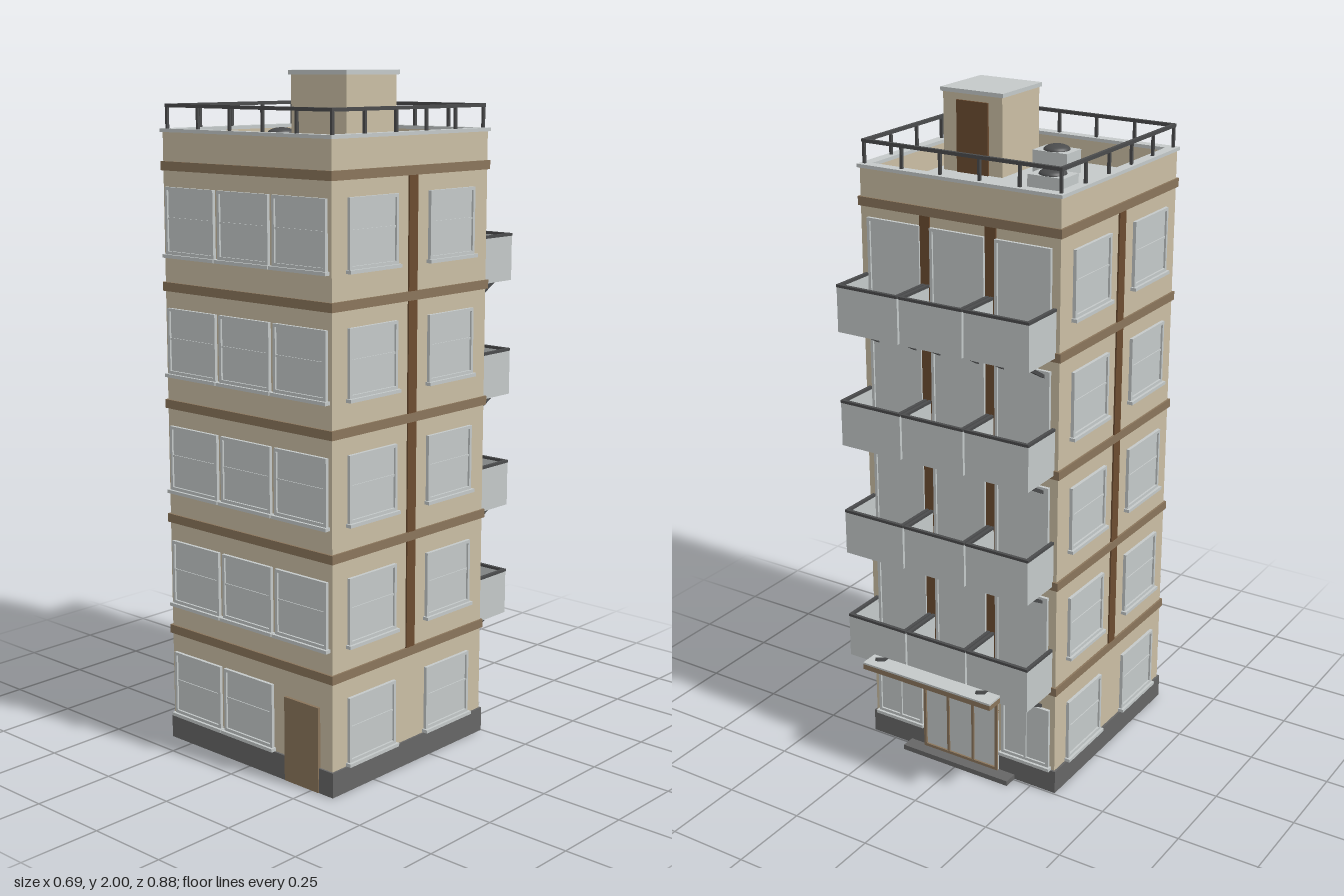
import * as THREE from 'three';

const paint = (name, color) => {
  const m = new THREE.MeshStandardMaterial({ color });
  m.name = name;
  return m;
};

export function createModel() {
  const wall = paint('sandWall', 0xcabea4);
  const pale = paint('paleGrey', 0xc4c9c9);
  const trim = paint('bandBrown', 0x8a755b);
  const dark = paint('darkBrown', 0x6c4c30);
  const stone = paint('baseGrey', 0x666666);
  const metal = paint('railGrey', 0x4a4b4c);

  const model = new THREE.Group();
  model.name = 'apartmentTower';

  // Box given by its limits on each axis
  function box(parent, name, mat, x0, x1, y0, y1, z0, z1) {
    const mesh = new THREE.Mesh(new THREE.BoxGeometry(x1 - x0, y1 - y0, z1 - z0), mat);
    mesh.position.set((x0 + x1) / 2, (y0 + y1) / 2, (z0 + z1) / 2);
    mesh.name = name;
    parent.add(mesh);
    return mesh;
  }

  // Square bar in a plane of constant x
  function strut(parent, name, mat, x, y0, z0, y1, z1, t) {
    const mesh = new THREE.Mesh(new THREE.BoxGeometry(t, t, Math.hypot(y1 - y0, z1 - z0)), mat);
    mesh.position.set(x, (y0 + y1) / 2, (z0 + z1) / 2);
    mesh.rotation.x = -Math.atan2(y1 - y0, z1 - z0);
    mesh.name = name;
    parent.add(mesh);
  }

  // Four walls around a rectangle
  function ring(name, mat, x, y0, y1, z0, z1, t) {
    const g = new THREE.Group();
    g.name = name;
    for (const s of [-1, 1]) {
      const a = s * x, b = s * (x - t);
      box(g, name + 'Side', mat, Math.min(a, b), Math.max(a, b), y0, y1, z0, z1);
    }
    box(g, name + 'Back', mat, -x + t, x - t, y0, y1, z0, z0 + t);
    box(g, name + 'Front', mat, -x + t, x - t, y0, y1, z1 - t, z1);
    model.add(g);
  }

  // Framed pane facing +z, turned onto its wall
  function pane(name, w, h, x, y, z, turn, { frame = pale, rail = true, sill = true, mullions = 0 } = {}) {
    const g = new THREE.Group();
    g.name = name;
    const t = 0.009, a = w / 2, d = 0.01;
    box(g, 'glass', pale, -a, a, 0, h, -0.002, 0.004);
    box(g, 'frameLeft', frame, a - t, a, 0, h, 0, d);
    box(g, 'frameRight', frame, -a, -a + t, 0, h, 0, d);
    box(g, 'frameTop', frame, -a + t, a - t, h - t, h, 0, d);
    box(g, 'frameBottom', frame, -a + t, a - t, 0, t, 0, d);
    if (rail) box(g, 'sashRail', frame, -a + t, a - t, h * 0.52, h * 0.52 + 0.006, 0, 0.007);
    for (let i = 1; i <= mullions; i++) {
      const m = -a + (w * i) / (mullions + 1);
      box(g, 'mullion', frame, m - 0.004, m + 0.004, t, h - t, 0, 0.009);
    }
    if (sill) box(g, 'sill', pale, -a - 0.006, a + 0.006, -0.01, 0, 0, 0.018);
    g.position.set(x, y, z);
    g.rotation.y = turn;
    model.add(g);
  }

  const W = 0.327, ZB = -0.24, ZF = 0.42, STEP = 0.346;
  const around = (name, mat, y0, y1, e) => box(model, name, mat, -W - e, W + e, y0, y1, ZB - e, ZF + e);

  // Main body, plinth and floor bands
  around('body', wall, 0, 1.75, 0);
  around('plinth', stone, 0.001, 0.075, 0.006);
  for (let k = 0; k < 5; k++) around('floorBand', trim, 0.334 + k * STEP, 0.36 + k * STEP, 0.006);

  // Windows on the front and both sides
  for (let k = 0; k < 5; k++) {
    const y = 0.086 + k * 0.3485;
    for (const x of [-0.214, 0, 0.214]) {
      if (k > 0 || x < 0.1) pane('frontWindow', 0.198, 0.192, x, y, ZF, 0);
    }
    for (const s of [-1, 1]) {
      for (const z of [0.26, -0.075]) pane('sideWindow', 0.198, 0.192, s * W, y, z, (s * Math.PI) / 2);
    }
  }

  // Vertical strips on the sides and back, between the bands
  for (let k = 0; k < 4; k++) {
    const y0 = 0.36 + k * STEP, y1 = 0.68 + k * STEP;
    for (const s of [-1, 1]) {
      box(model, 'sideStrip', dark, s * W - 0.005, s * W + 0.005, y0, y1, 0.074, 0.11);
      box(model, 'backStrip', dark, s * 0.108 - 0.017, s * 0.108 + 0.017, y0, y1, ZB - 0.005, ZB + 0.005);
    }
  }

  // Front service door
  box(model, 'serviceDoor', trim, 0.148, 0.28, 0.002, 0.255, ZF, ZF + 0.009);

  // Balconies with glazed doors behind and struts below
  for (let k = 0; k < 4; k++) {
    for (let i = -1; i <= 1; i++) {
      const y = 0.345 + k * STEP, x = i * 0.2125, h = 0.103, z = -0.38;
      pane('balconyDoor', 0.178, 0.275, x, y + 0.03, ZB, Math.PI, { rail: false, sill: false });
      const g = new THREE.Group();
      g.name = 'balcony';
      box(g, 'balconyFloor', pale, x - h, x + h, y, y + 0.022, z, ZB);
      box(g, 'balconyFront', pale, x - h, x + h, y + 0.022, y + 0.132, z, z + 0.008);
      box(g, 'frontCap', metal, x - h - 0.001, x + h + 0.001, y + 0.132, y + 0.14, z - 0.001, z + 0.009);
      for (const s of [-1, 1]) {
        const c = x + s * (h - 0.004);
        box(g, 'balconySide', pale, c - 0.004, c + 0.004, y + 0.022, y + 0.132, z + 0.008, ZB);
        box(g, 'sideCap', metal, c - 0.005, c + 0.005, y + 0.132, y + 0.14, z + 0.009, ZB);
        strut(g, 'balconyStrut', metal, x + s * 0.065, y - 0.06, ZB, y + 0.004, -0.352, 0.01);
      }
      model.add(g);
    }
  }

  // Rear entrance: doors, side windows, canopy and step
  pane('entranceDoors', 0.27, 0.27, 0, 0.017, ZB - 0.007, Math.PI, { frame: trim, rail: false, sill: false, mullions: 2 });
  for (const s of [-1, 1]) {
    pane('entranceWindow', 0.165, 0.195, s * 0.228, 0.085, ZB, Math.PI, { rail: false, mullions: 1 });
  }
  box(model, 'entranceStep', stone, -0.19, 0.19, 0, 0.016, -0.29, ZB);
  box(model, 'canopy', trim, -0.225, 0.225, 0.35, 0.366, -0.437, -0.25);
  box(model, 'canopyTop', pale, -0.225, 0.225, 0.366, 0.372, -0.437, -0.25);
  for (const s of [-1, 1]) {
    strut(model, 'canopyStrut', metal, s * 0.178, 0.302, ZB, 0.394, -0.433, 0.009);
  }

  // Roof deck, parapet and coping
  box(model, 'roofDeck', pale, -0.31, 0.31, 1.75, 1.756, -0.22, 0.4);
  ring('parapet', wall, W, 1.75, 1.826, ZB, ZF, 0.02);
  ring('coping', pale, W + 0.006, 1.826, 1.836, ZB - 0.006, ZF + 0.006, 0.032);

  // Roof railing
  const rx = 0.319, rz0 = -0.228, rz1 = 0.409;
  ring('topRail', metal, rx + 0.005, 1.895, 1.905, rz0 - 0.005, rz1 + 0.005, 0.01);
  const post = (x, z) => box(model, 'railPost', metal, x - 0.004, x + 0.004, 1.834, 1.896, z - 0.004, z + 0.004);
  for (let i = 0; i < 5; i++) {
    const u = i / 5;
    post(-rx + 2 * rx * u, rz0);
    post(rx - 2 * rx * u, rz1);
    post(rx, rz0 + (rz1 - rz0) * u);
    post(-rx, rz1 - (rz1 - rz0) * u);
  }

  // Stair house with its door at the back
  box(model, 'stairHouse', wall, 0.076, 0.279, 1.75, 1.988, 0.107, 0.31);
  box(model, 'stairHouseRoof', pale, 0.07, 0.285, 1.988, 2, 0.101, 0.316);
  box(model, 'stairDoor', dark, 0.122, 0.23, 1.756, 1.968, 0.101, 0.108);

  // Roof ventilation units with domed fans
  for (const [x, z] of [[-0.168, -0.017], [-0.025, 0.245]]) {
    box(model, 'ventUnit', pale, x - 0.058, x + 0.058, 1.756, 1.826, z - 0.041, z + 0.041);
    const fan = new THREE.Mesh(new THREE.SphereGeometry(0.04, 24, 8, 0, Math.PI * 2, 0, Math.PI / 2), metal);
    fan.scale.y = 0.4;
    fan.position.set(x, 1.826, z);
    fan.name = 'ventFan';
    model.add(fan);
  }

  return model;
}
